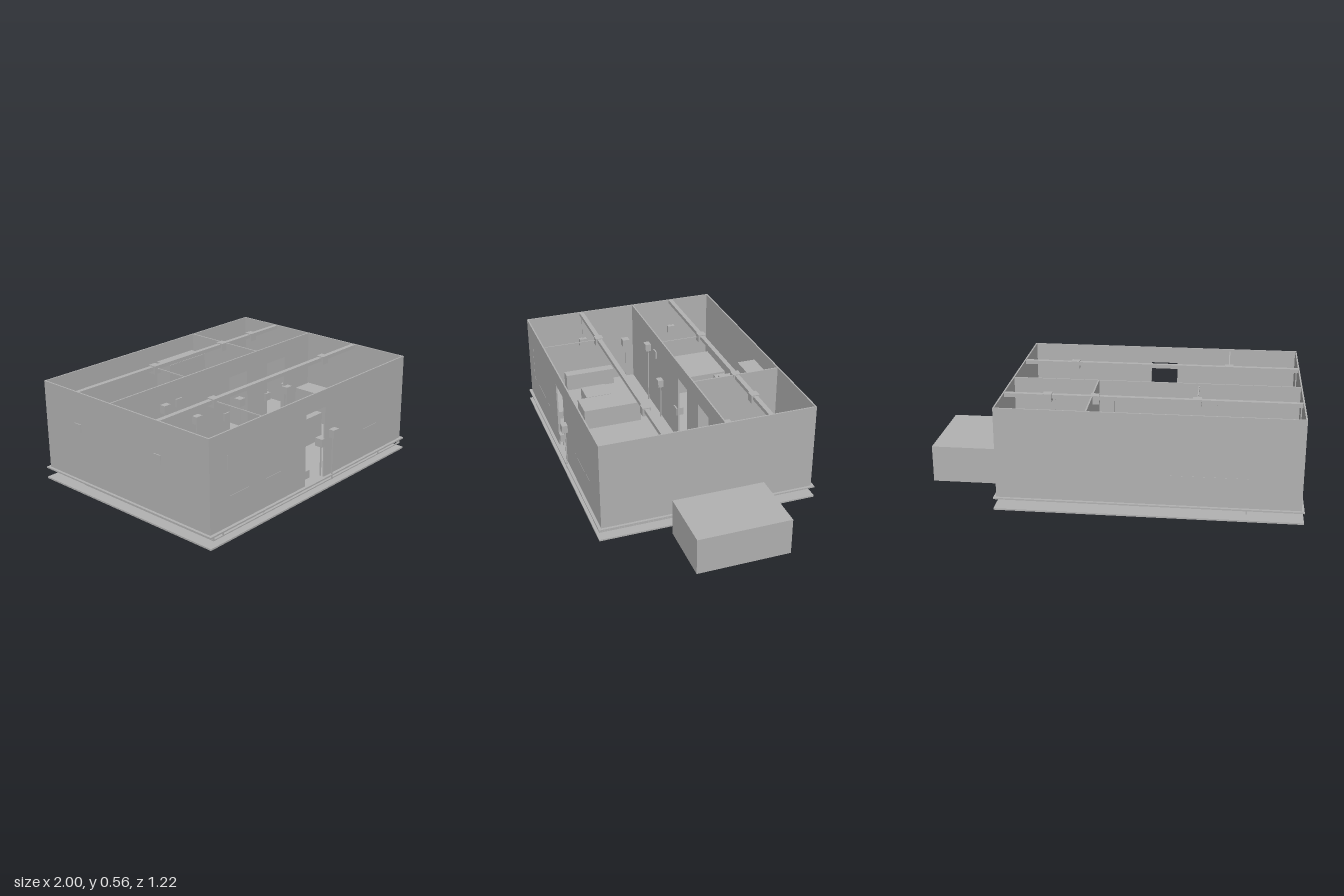
import * as THREE from 'three';

export function createModel() {
  const model = new THREE.Group();
  const grey = new THREE.MeshStandardMaterial({ color: 0xb2b2b2 });
  grey.name = 'plain grey';

  const add = (name, geometry) => {
    const mesh = new THREE.Mesh(geometry, grey);
    mesh.name = name;
    model.add(mesh);
    return mesh;
  };
  // Box given by its limits on each axis
  const block = (name, x0, x1, y0, y1, z0, z1) => {
    const mesh = add(name, new THREE.BoxGeometry(x1 - x0, y1 - y0, z1 - z0));
    mesh.position.set((x0 + x1) / 2, (y0 + y1) / 2, (z0 + z1) / 2);
  };
  // Thin square conduit between two points on one axis
  const conduit = (a, b, r = 0.003) => block('conduit',
    Math.min(a[0], b[0]) - r, Math.max(a[0], b[0]) + r,
    Math.min(a[1], b[1]) - r, Math.max(a[1], b[1]) + r,
    Math.min(a[2], b[2]) - r, Math.max(a[2], b[2]) + r);

  const FLOOR = 0.068, TOP = 0.555, T = 0.008;
  const L = -0.986, R = 0.576, BACK = -0.594, FRONT = 0.58;

  // Wall along x with door openings
  const doorWall = (name, z, doors) => {
    const s = new THREE.Shape();
    s.moveTo(L, FLOOR);
    for (const [a, b, h] of doors) {
      s.lineTo(a, FLOOR); s.lineTo(a, h); s.lineTo(b, h); s.lineTo(b, FLOOR);
    }
    s.lineTo(R, FLOOR); s.lineTo(R, TOP); s.lineTo(L, TOP);
    s.closePath();
    add(name, new THREE.ExtrudeGeometry(s, { depth: T, bevelEnabled: false })).position.z = z;
  };

  // Slabs
  block('groundSlab', -1, 0.59, 0, 0.009, -0.61, 0.596);
  block('floorSlab', -1, 0.59, 0.06, FLOOR, -0.61, 0.596);

  // Outer and inner walls
  doorWall('frontWall', FRONT - T, [[-0.285, -0.13, 0.46]]);
  doorWall('corridorWall', -0.094, [[-0.125, 0.02, 0.46], [0.19, 0.345, 0.46]]);
  block('backWall', L, R, FLOOR, TOP, BACK, BACK + T);
  block('rightWall', L, L + T, FLOOR, TOP, BACK + T, FRONT - T);
  block('leftWall', R - T, R, FLOOR, TOP, BACK + T, FRONT - T);
  block('partitionWall', 0.101, 0.109, FLOOR, TOP, BACK + T, -0.094);

  // Ceiling trunking with junction boxes
  const beams = { 0.24: [-0.595, 0.28], '-0.342': [-0.44, 0.09, 0.34] };
  for (const [key, xs] of Object.entries(beams)) {
    const z = Number(key);
    block('ceilingTrunking', L + T, R - T, 0.532, 0.553, z - 0.013, z + 0.013);
    for (const x of xs)
      block('junctionBox', x - 0.023, x + 0.023, 0.513, 0.558, z - 0.023, z + 0.023);
    block('wallBox', -0.991, -0.952, 0.338, 0.383, z - 0.02, z + 0.025);
    conduit([-0.97, 0.38, z], [-0.97, 0.535, z]);
  }

  // Furniture: name, x0, x1, z0, z1, top
  const furniture = [
    ['bed', -0.94, -0.635, -0.584, -0.21, 0.17],
    ['bedsideTable', -0.615, -0.54, -0.57, -0.5, 0.17],
    ['dresser', -0.515, -0.325, -0.584, -0.488, 0.22],
    ['wardrobe', -0.2, 0.085, -0.584, -0.478, 0.46],
    ['toilet', 0.145, 0.22, -0.572, -0.46, 0.15],
    ['showerTray', 0.395, 0.566, -0.584, -0.4, 0.12],
    ['basin', 0.455, 0.566, -0.204, -0.13, 0.24],
    ['sideboard', -0.963, -0.905, 0.068, 0.373, 0.17],
    ['coffeeTable', -0.765, -0.63, 0.165, 0.32, 0.15],
    ['sofa', -0.555, -0.4, 0.05, 0.395, 0.19],
    ['diningTable', 0.063, 0.26, 0.107, 0.262, 0.23],
    ['kitchenCounter', 0.445, 0.566, -0.078, 0.415, 0.245],
    ['frontCounter', 0.145, 0.445, 0.448, 0.56, 0.25],
  ];
  for (const [name, x0, x1, z0, z1, top] of furniture)
    block(name, x0, x1, FLOOR, top, z0, z1);

  // Switch and socket boxes with conduits dropping below the floor: x, y, z
  const outlets = [
    [-0.34, 0.24, 0.558], [-0.272, 0.128, 0.558], [-0.13, 0.262, 0.558],
    [-0.09, 0.262, 0.558], [-0.072, 0.303, 0.59], [-0.63, 0.43, -0.075],
    [-0.52, 0.43, -0.1], [-0.4, 0.3, -0.075], [-0.155, 0.24, -0.1],
    [0.025, 0.26, -0.147], [0.19, 0.26, -0.1], [0.355, 0.26, -0.075],
    [-0.905, 0.345, -0.015], [0.125, 0.26, -0.285],
  ];
  for (const [x, y, z] of outlets) {
    block('outletBox', x - 0.022, x + 0.022, y - 0.022, y + 0.022, z - 0.022, z + 0.022);
    conduit([x, 0.04, z], [x, y, z]);
  }

  // Ceiling drops from the junction boxes to the walls
  conduit([-0.595, 0.54, 0.24], [-0.595, 0.54, 0.572]);
  conduit([-0.595, 0.04, 0.568], [-0.595, 0.54, 0.568]);
  conduit([-0.44, 0.54, -0.342], [-0.44, 0.54, -0.097]);
  conduit([-0.44, 0.3, -0.097], [-0.44, 0.54, -0.097]);

  // Conduit runs under the raised floor
  conduit([-0.97, 0.04, 0.585], [0.565, 0.04, 0.585]);
  conduit([-0.97, 0.04, 0.24], [0.565, 0.04, 0.24]);
  conduit([-0.63, 0.04, -0.04], [0.58, 0.04, -0.04]);
  conduit([0.565, 0.04, -0.04], [0.565, 0.04, 0.585]);
  conduit([-0.97, 0.04, -0.335], [-0.97, 0.04, 0.585]);
  conduit([0.12, 0.04, -0.335], [0.12, 0.04, -0.04]);
  for (const x of [-0.97, -0.905, 0.355, 0.565])
    conduit([x, 0.04, 0.585], [x, 0.064, 0.585]);
  block('underfloorBox', 0.1, 0.145, 0.045, 0.06, -0.305, -0.26);

  // Conduits set flush in the outer walls
  conduit([-0.86, 0.22, FRONT - 0.002], [-0.86, 0.43, FRONT - 0.002]);
  conduit([-0.86, 0.22, FRONT - 0.002], [-0.48, 0.22, FRONT - 0.002]);
  conduit([0.1, 0.23, FRONT - 0.002], [0.38, 0.23, FRONT - 0.002]);
  conduit([-0.71, 0.227, BACK + 0.002], [-0.315, 0.227, BACK + 0.002]);
  conduit([-0.71, 0.04, BACK + 0.002], [-0.71, 0.227, BACK + 0.002]);

  // Outside service cabinet and its link
  block('serviceCabinet', 0.647, 1, 0, 0.203, -0.281, 0.223);
  block('cabinetLink', 0.573, 0.65, 0.02, 0.06, -0.06, -0.022);

  return model;
}
